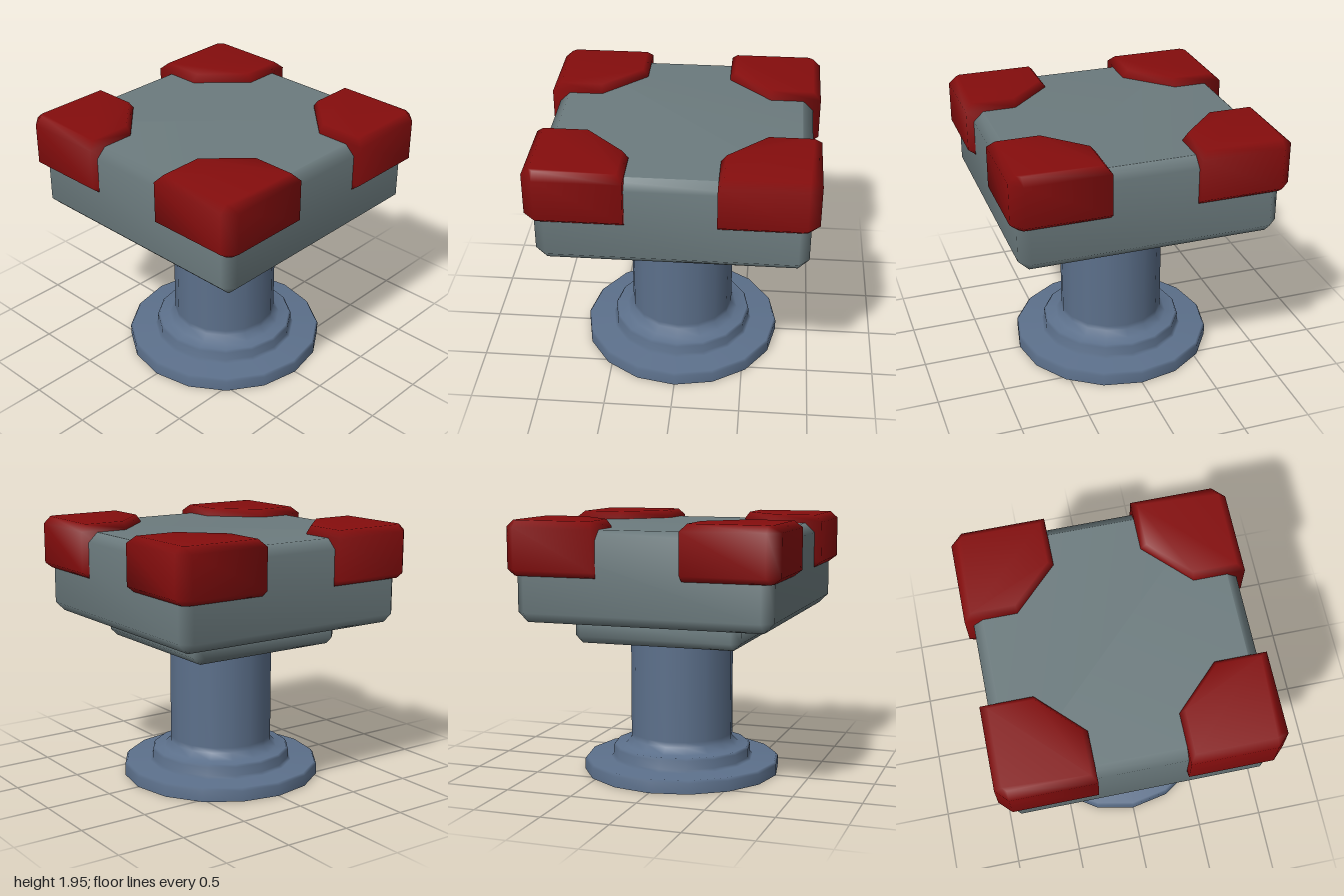
import * as THREE from 'three';

const red = new THREE.MeshStandardMaterial({ color: 0x850d0d });
red.name = 'dark red';
const grey = new THREE.MeshStandardMaterial({ color: 0x6c7b7e });
grey.name = 'slate grey';
const blue = new THREE.MeshStandardMaterial({ color: 0x5c708b, side: THREE.DoubleSide });
blue.name = 'steel blue';

// Joins convex outlines, listed from bottom to top as { y, ring: [[x, z], ...] }
function loft(levels) {
  const n = levels[0].ring.length;
  const positions = levels.flatMap(({ y, ring }) => ring.flatMap(([x, z]) => [x, y, z]));
  const index = [];
  for (let l = 0; l < levels.length - 1; l++) {
    for (let j = 0; j < n; j++) {
      const a = l * n + j, b = l * n + (j + 1) % n;
      index.push(a, a + n, b + n, a, b + n, b);
    }
  }
  const top = (levels.length - 1) * n;
  for (let j = 1; j < n - 1; j++) {
    index.push(0, j, j + 1, top, top + j + 1, top + j);
  }
  const geometry = new THREE.BufferGeometry();
  geometry.setAttribute('position', new THREE.Float32BufferAttribute(positions, 3));
  geometry.setIndex(index);
  geometry.computeVertexNormals();
  return geometry;
}

// Square outline of half width h, with corners cut where its flats end at f
const square = (h, f) => [
  [h, -f], [h, f], [f, h], [-f, h], [-h, f], [-h, -f], [-f, -h], [f, -h],
];

// Corner guard outline: o = outer side, i = inner side, with a diagonal inner cut
const guard = (o, i) => [
  [o, i], [o, 0.915], [0.915, o], [i, o], [i, 0.63], [0.63, i],
];

export function createModel() {
  const model = new THREE.Group();
  model.name = 'pedestal';
  const add = (name, geometry, material) => {
    const mesh = new THREE.Mesh(geometry, material);
    mesh.name = name;
    model.add(mesh);
    return mesh;
  };

  // Hollow stepped foot and column, open underneath
  const profile = [
    [0.75, 0], [0.75, 0.08], [0.735, 0.1], [0.55, 0.1], [0.53, 0.12],
    [0.53, 0.185], [0.515, 0.203], [0.435, 0.203], [0.39, 0.25], [0.39, 0.29], [0.39, 1.045],
  ].map(([x, y]) => new THREE.Vector2(x, y));
  add('column', new THREE.LatheGeometry(profile, 16), blue);

  // Bevelled support plate
  add('supportPlate', loft([
    { y: 1.04, ring: square(0.575, 0.57) },
    { y: 1.092, ring: square(0.63, 0.57) },
    { y: 1.23, ring: square(0.63, 0.57) },
  ]), grey);

  // Main block, bevelled on every edge
  add('block', loft([
    { y: 1.22, ring: square(0.872, 0.868) },
    { y: 1.292, ring: square(0.945, 0.868) },
    { y: 1.82, ring: square(0.945, 0.868) },
    { y: 1.89, ring: square(0.872, 0.868) },
  ]), grey);

  // Four guards wrapped over the upper corners
  const guardGeometry = loft([
    { y: 1.557, ring: guard(0.945, 0.315) },
    { y: 1.6, ring: guard(1, 0.315) },
    { y: 1.9, ring: guard(1, 0.315) },
    { y: 1.95, ring: guard(0.945, 0.355) },
  ]);
  for (let k = 0; k < 4; k++) {
    add('cornerGuard' + (k + 1), guardGeometry, red).rotation.y = k * Math.PI / 2;
  }

  return model;
}
